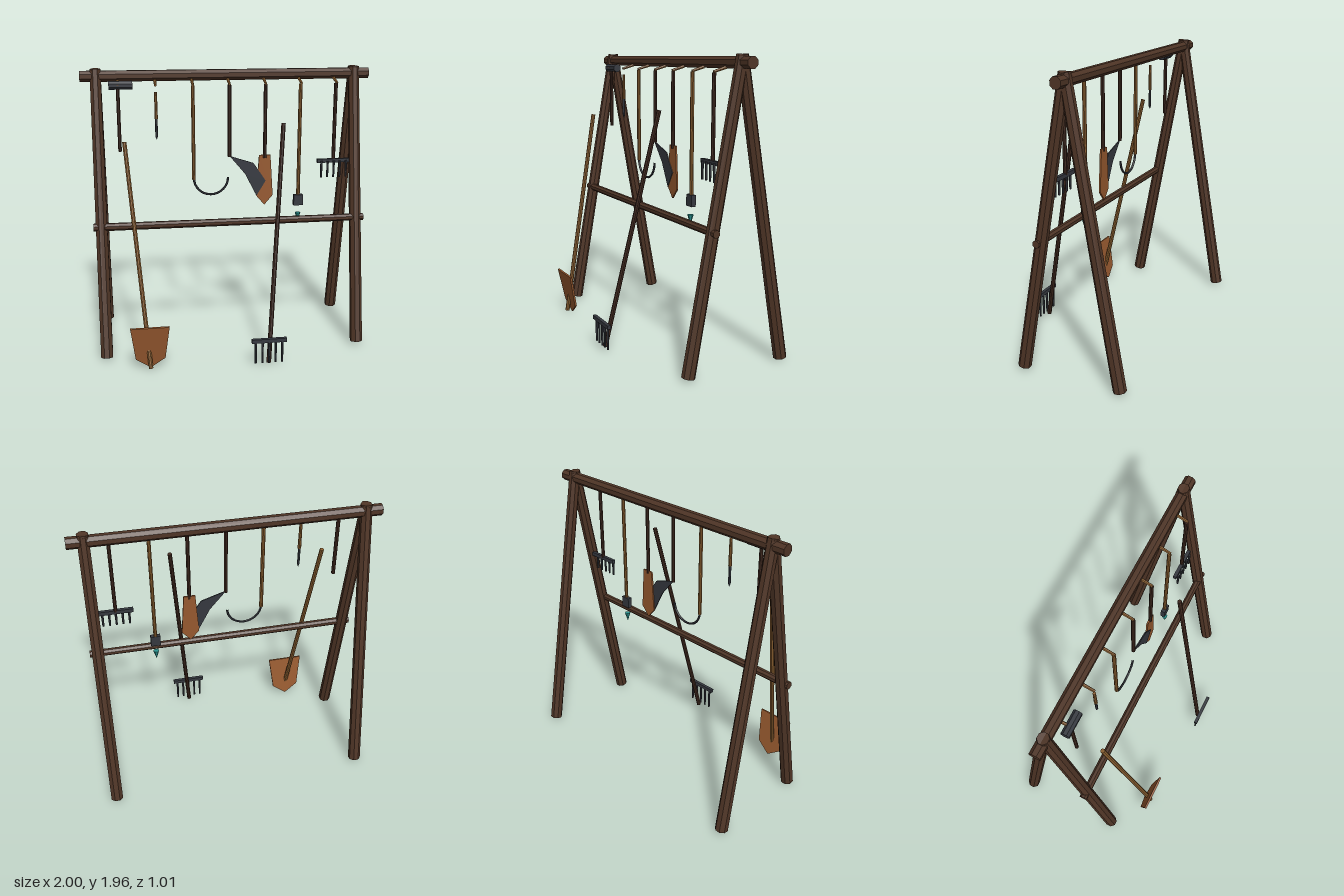
import * as THREE from 'three';

const mat = (color) => new THREE.MeshStandardMaterial({ color, flatShading: true });
const timber = mat(0x4f3526), darkWood = mat(0x40291f), paleWood = mat(0x8a5f30);
const copper = mat(0x96592f), iron = mat(0x35383f), teal = mat(0x2a9490);
const HANG_Z = -0.02;

export function createModel() {
  const model = new THREE.Group();

  const add = (name, geometry, material, parent = model) => {
    const mesh = new THREE.Mesh(geometry, material);
    mesh.name = name;
    parent.add(mesh);
    return mesh;
  };

  // Round bar from a to b; the radius may taper
  const bar = (name, a, b, rA, rB, material, parent = model, sides = 8) => {
    const start = new THREE.Vector3(...a), end = new THREE.Vector3(...b);
    const dir = end.clone().sub(start);
    const geometry = new THREE.CylinderGeometry(rB, rA, dir.length(), sides);
    geometry.rotateY(Math.PI / sides);
    const mesh = add(name, geometry, material, parent);
    mesh.position.copy(start).add(end).multiplyScalar(0.5);
    mesh.quaternion.setFromUnitVectors(new THREE.Vector3(0, 1, 0), dir.normalize());
    return mesh;
  };

  // Flat plate cut from an outline, centred on z = 0
  const plate = (name, outline, depth, material, parent = model) => {
    const shape = new THREE.Shape(outline.map(([x, y]) => new THREE.Vector2(x, y)));
    const geometry = new THREE.ExtrudeGeometry(shape, { depth, bevelEnabled: false });
    geometry.translate(0, 0, -depth / 2);
    return add(name, geometry, material, parent);
  };

  const group = (name) => {
    const g = new THREE.Group();
    g.name = name;
    model.add(g);
    return g;
  };

  const hangingHandle = (parent, x, bottom, material, top = 1.86, z = HANG_Z) =>
    bar('handle', [x, bottom, z], [x, top, z], 0.013, 0.013, material, parent);

  // Rake head: cross bar with five tines
  const rakeHead = (parent, x, y, z, width, tineZ, tineLength) => {
    add('rakeBar', new THREE.BoxGeometry(width, 0.027, 0.024), iron, parent).position.set(x, y, z);
    for (let i = -2; i <= 2; i++) {
      const tx = x + i * width * 0.19;
      bar('tine', [tx, y, tineZ], [tx, y - tineLength, tineZ], 0.009, 0.007, iron, parent, 6);
    }
  };

  // Frame: two A-shaped ends, ridge beam and front rail
  const frame = group('frame');
  for (const x of [-0.895, 0.895]) {
    bar('frontLeg', [x, 0.025, 0.23], [x, 1.965, -0.12], 0.044, 0.039, timber, frame);
    bar('backLeg', [x, 0.025, -0.465], [x, 1.965, -0.117], 0.044, 0.039, timber, frame);
  }
  bar('ridgeBeam', [-1, 1.92, -0.12], [1, 1.92, -0.12], 0.039, 0.039, timber, frame);
  bar('frontRail', [-0.95, 0.92, 0.077], [0.95, 0.92, 0.077], 0.027, 0.025, timber, frame);

  // Pegs along the beam
  for (let i = -3; i <= 3; i++) {
    bar('peg', [i * 0.25, 1.89, -0.1], [i * 0.25, 1.864, -0.013], 0.011, 0.009, paleWood, frame, 6);
  }

  // Mallet
  const mallet = group('mallet');
  hangingHandle(mallet, -0.75, 1.42, darkWood, 1.86, -0.035);
  bar('malletHead', [-0.81, 1.866, -0.04], [-0.652, 1.866, -0.04], 0.03, 0.03, iron, mallet);

  // Chisel
  const chisel = group('chisel');
  bar('chiselHandle', [-0.5, 1.64, HANG_Z], [-0.5, 1.82, HANG_Z], 0.012, 0.01, paleWood, chisel);
  bar('chiselBlade', [-0.5, 1.52, HANG_Z], [-0.5, 1.64, HANG_Z], 0.009, 0.009, iron, chisel, 6);
  bar('chiselTip', [-0.5, 1.5, HANG_Z], [-0.5, 1.52, HANG_Z], 0.002, 0.009, iron, chisel, 6);

  // Sickle
  const sickle = group('sickle');
  hangingHandle(sickle, -0.25, 1.21, paleWood);
  const arc = add('sickleBlade', new THREE.TorusGeometry(0.12, 0.008, 6, 16, Math.PI), iron, sickle);
  arc.position.set(-0.13, 1.22, HANG_Z);
  arc.rotation.z = Math.PI;

  // Scythe
  const scythe = group('scythe');
  hangingHandle(scythe, 0, 1.365, darkWood);
  plate('scytheBlade', [[0, 1.37], [0.11, 1.24], [0.193, 1.08], [0.257, 1.187], [0.17, 1.315]],
    0.008, iron, scythe).position.z = HANG_Z + 0.003;

  // Hanging spade
  const spade = group('hangingSpade');
  hangingHandle(spade, 0.25, 1.35, darkWood);
  plate('spadeBlade', [[0.21, 1.37], [0.19, 1.08], [0.25, 1.01], [0.31, 1.08], [0.29, 1.37]],
    0.012, copper, spade).position.z = HANG_Z - 0.003;

  // Long tool with a block and a small pointed bit below it
  const dibber = group('dibber');
  hangingHandle(dibber, 0.495, 1.07, paleWood);
  add('block', new THREE.BoxGeometry(0.067, 0.077, 0.032), iron, dibber).position.set(0.495, 1.038, -0.018);
  bar('point', [0.495, 0.88, -0.015], [0.495, 0.945, -0.015], 0.001, 0.021, teal, dibber, 6);

  // Hanging rake
  const rake = group('hangingRake');
  hangingHandle(rake, 0.745, 1.32, darkWood);
  rakeHead(rake, 0.745, 1.317, -0.018, 0.235, -0.002, 0.117);

  // Leaning shovel
  const shovel = group('leaningShovel');
  bar('shovelHandle', [-0.6, 0.02, 0.43], [-0.72, 1.515, 0.135], 0.016, 0.015, paleWood, shovel);
  const blade = plate('shovelBlade',
    [[-0.13, 0.16], [-0.1, -0.087], [0, -0.16], [0.1, -0.087], [0.13, 0.16]], 0.014, copper, shovel);
  blade.position.set(-0.6, 0.165, 0.415);
  blade.rotation.x = 0.19;

  // Leaning rake
  const leaning = group('leaningRake');
  bar('rakeHandle', [0.2, 0.025, 0.47], [0.345, 1.615, 0.137], 0.016, 0.015, darkWood, leaning);
  rakeHead(leaning, 0.197, 0.2, 0.493, 0.24, 0.49, 0.165);

  return model;
}
